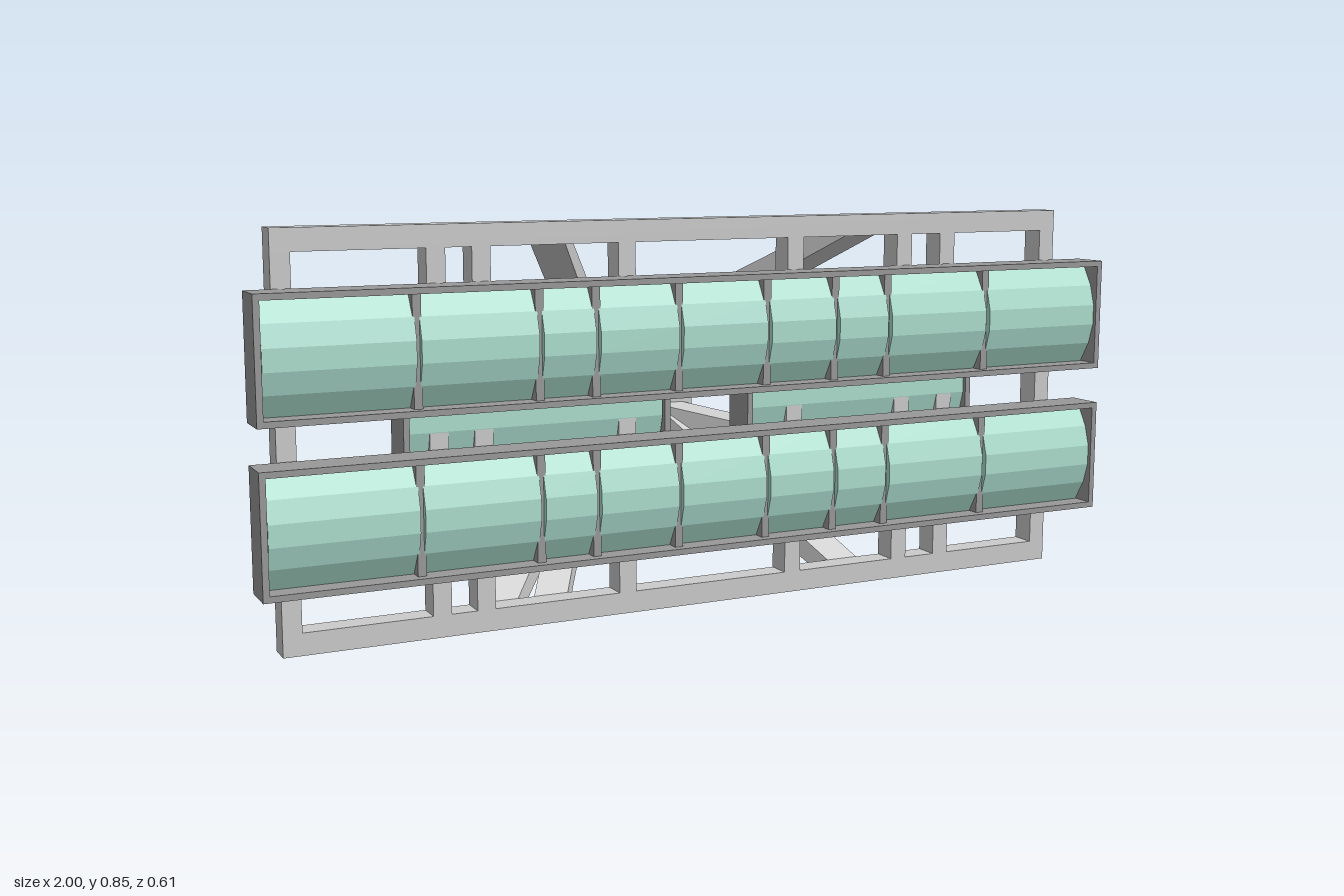
import * as THREE from 'three';

const grey = new THREE.MeshStandardMaterial({ color: 0xcccccc, flatShading: true });
const housingGrey = new THREE.MeshStandardMaterial({ color: 0x999999, flatShading: true });
const glass = new THREE.MeshStandardMaterial({ color: 0xaddfcf, flatShading: true });

// Box given by its minimum and maximum along each axis
function block(parent, name, x0, x1, y0, y1, z0, z1, material = grey) {
  const mesh = new THREE.Mesh(new THREE.BoxGeometry(x1 - x0, y1 - y0, z1 - z0), material);
  mesh.position.set((x0 + x1) / 2, (y0 + y1) / 2, (z0 + z1) / 2);
  mesh.name = name;
  parent.add(mesh);
}

// Rectangular frame of four bars plus optional upright posts
function makeFrame(name, x0, x1, y0, y1, z0, z1, posts = []) {
  const frame = new THREE.Group();
  frame.name = name;
  const bar = 0.047, side = 0.04;
  block(frame, 'bottomRail', x0, x1, y0, y0 + bar, z0, z1);
  block(frame, 'topRail', x0, x1, y1 - bar, y1, z0, z1);
  for (const x of [x0, ...posts, x1 - side]) {
    block(frame, 'post', x, x + side, y0 + bar, y1 - bar, z0, z1);
  }
  return frame;
}

// Open-fronted trough with bulging glass sections separated by thin plates
function makeLightBox(name, x0, x1, y0, z0, splits = []) {
  const box = new THREE.Group();
  box.name = name;
  const height = 0.255, depth = 0.085, wall = 0.013;
  const y1 = y0 + height, z1 = z0 + depth;
  block(box, 'back', x0, x1, y0, y1, z0, z0 + 0.01, housingGrey);
  block(box, 'bottomWall', x0, x1, y0, y0 + wall, z0 + 0.01, z1, housingGrey);
  block(box, 'topWall', x0, x1, y1 - wall, y1, z0 + 0.01, z1, housingGrey);
  for (const x of [x0, x1 - wall]) {
    block(box, 'endWall', x, x + wall, y0 + wall, y1 - wall, z0 + 0.01, z1, housingGrey);
  }
  for (const x of splits) {
    block(box, 'divider', x - 0.009, x + 0.009, y0 + wall, y1 - wall, z0 + 0.01, z1 - 0.02, housingGrey);
  }

  // Faceted convex profile of the glass
  const half = height / 2 - wall, section = new THREE.Shape();
  section.moveTo(-0.015, -half);
  for (let i = 0; i <= 5; i++) {
    const t = -1 + (2 * i) / 5;
    section.lineTo(-(0.08 - 0.042 * t * t), half * t);
  }
  section.lineTo(-0.015, half);
  const edges = [x0 + wall - 0.003, ...splits, x1 - wall + 0.003];
  for (let i = 0; i < edges.length - 1; i++) {
    const geometry = new THREE.ExtrudeGeometry(section, {
      depth: edges[i + 1] - edges[i] - 0.01, bevelEnabled: false,
    });
    geometry.rotateY(Math.PI / 2);
    const lens = new THREE.Mesh(geometry, glass);
    lens.name = 'lens';
    lens.position.set(edges[i] + 0.005, y0 + height / 2, z0);
    box.add(lens);
  }
  return box;
}

// Sheared beam: each end is an upright rectangle [x0, x1, y0, y1] at its own z
function makeStrut(name, back, zBack, front, zFront) {
  const geometry = new THREE.BoxGeometry(1, 1, 1);
  const p = geometry.attributes.position;
  for (let i = 0; i < p.count; i++) {
    const end = p.getZ(i) > 0 ? front : back;
    p.setXYZ(i, end[p.getX(i) > 0 ? 1 : 0], end[p.getY(i) > 0 ? 3 : 2],
      p.getZ(i) > 0 ? zFront : zBack);
  }
  geometry.computeVertexNormals();
  const mesh = new THREE.Mesh(geometry, grey);
  mesh.name = name;
  return mesh;
}

export function createModel() {
  const model = new THREE.Group();
  model.name = 'lightPanel';

  // Frames
  model.add(makeFrame('mainFrame', -0.945, 0.925, 0, 0.85, 0.16, 0.215,
    [-0.633, -0.537, -0.213, 0.197, 0.483, 0.6]));
  model.add(makeFrame('rearFrame', -0.633, 0.64, 0.265, 0.65, 0.08, 0.133));

  // Long light boxes in front, two short ones behind them
  const splits = [-0.677, -0.42, -0.295, -0.105, 0.107, 0.278, 0.414, 0.68];
  model.add(makeLightBox('lowerLightBox', -1, 1, 0.14, 0.22, splits));
  model.add(makeLightBox('upperLightBox', -1, 1, 0.478, 0.22, splits));
  model.add(makeLightBox('rightInnerLightBox', -0.69, -0.095, 0.325, 0.137));
  model.add(makeLightBox('leftInnerLightBox', 0.095, 0.69, 0.325, 0.137));

  // Rear mounting block
  block(model, 'mountBlock', -0.195, 0.17, 0.268, 0.63, -0.303, -0.2);

  // Struts: side, upper or lower, and the x where each meets its frame
  const struts = [
    ['outerStrut', 1, true, 0.388, true], ['outerStrut', -1, true, -0.39, true],
    ['outerStrut', 1, false, 0.345, true], ['outerStrut', -1, false, -0.39, true],
    ['outerStrut', -1, false, -0.505, true],
    ['innerStrut', 1, true, 0.375, false], ['innerStrut', -1, true, -0.38, false],
    ['innerStrut', 1, false, 0.375, false], ['innerStrut', -1, false, -0.53, false],
  ];
  for (const [name, side, upper, x, outer] of struts) {
    const xBack = side > 0 ? 0.068 : -0.145;
    const back = [xBack, xBack + 0.075, upper ? 0.535 : 0.31, upper ? 0.605 : 0.385];
    const y = outer ? (upper ? 0.804 : 0) : (upper ? 0.604 : 0.265);
    model.add(makeStrut(name, back, -0.2, [x, x + 0.078, y, y + 0.046], outer ? 0.16 : 0.08));
  }
  return model;
}
